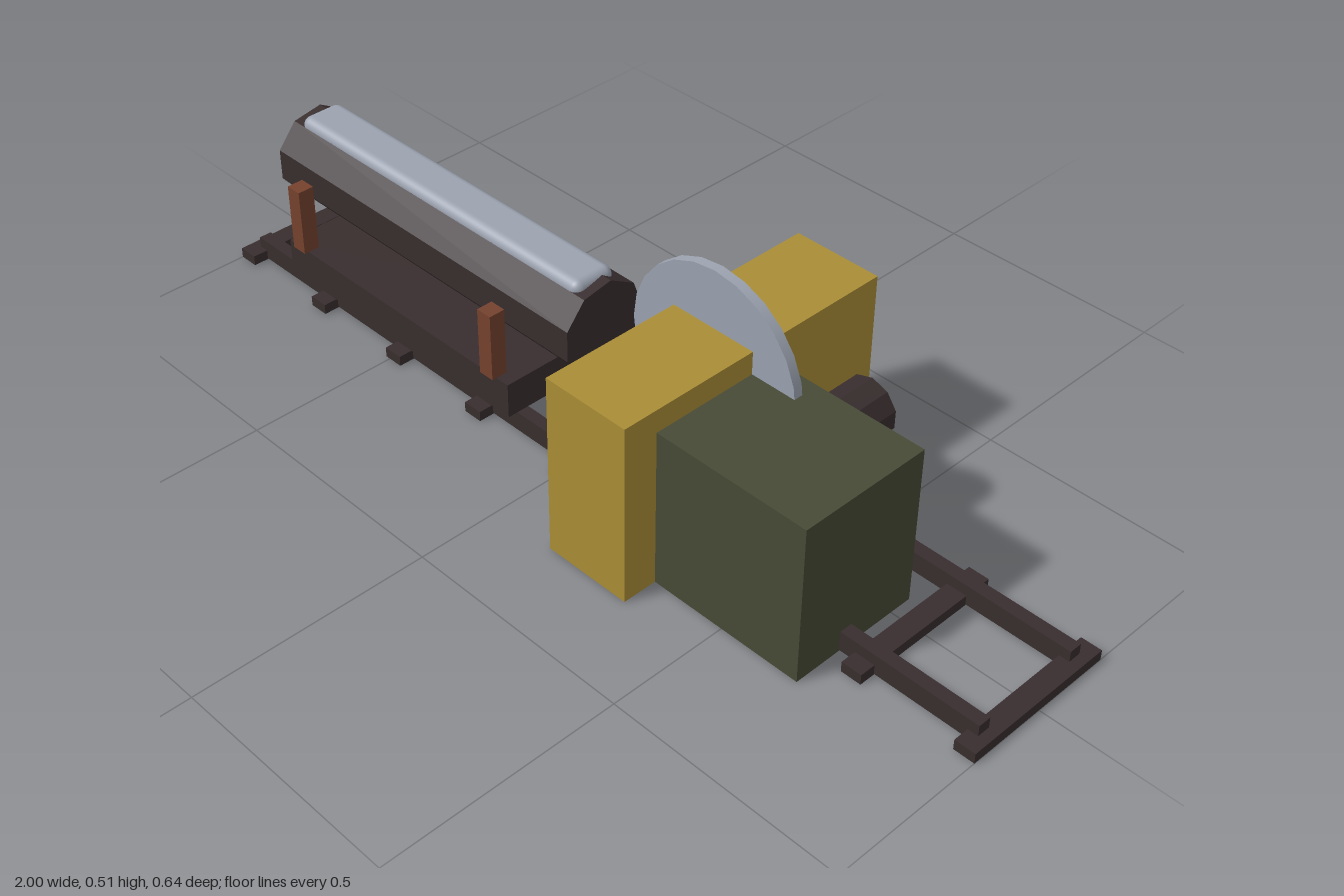
import * as THREE from 'three';
import { RoundedBoxGeometry } from 'three/addons/geometries/RoundedBoxGeometry.js';

const mat = (name, color, extra = {}) =>
  Object.assign(new THREE.MeshStandardMaterial({ color, ...extra }), { name });

export function createModel() {
  const group = new THREE.Group();
  const timber = mat('dark timber', 0x382d2e, { flatShading: true });
  const yellow = mat('machine yellow', 0xaa8e36);
  const green = mat('engine green', 0x474a35);
  const steel = mat('pale steel', 0x9ca3b0);
  const rust = mat('rusty iron', 0x75422e);
  const cutWood = mat('cut wood', 0x84664c);

  const add = (name, geometry, material, x, y, z) => {
    const mesh = new THREE.Mesh(geometry, material);
    mesh.name = name;
    mesh.position.set(x, y, z);
    group.add(mesh);
    return mesh;
  };
  // Box given by its minimum and maximum corners
  const box = (name, material, [x0, y0, z0], [x1, y1, z1]) =>
    add(name, new THREE.BoxGeometry(x1 - x0, y1 - y0, z1 - z0), material,
      (x0 + x1) / 2, (y0 + y1) / 2, (z0 + z1) / 2);

  // Track: nine sleepers and two rails
  for (let i = 0; i < 9; i++) {
    const x = -0.978 + i * 0.2445;
    box('sleeper', timber, [x - 0.022, 0, -0.17], [x + 0.022, 0.022, 0.17]);
  }
  for (const z of [-0.122, 0.122]) {
    box('rail', timber, [-0.978, 0.002, z - 0.014], [0.978, 0.045, z + 0.014]);
  }

  // Carriage with two stakes holding the log
  box('carriage', timber, [-0.83, 0.045, -0.158], [-0.15, 0.122, 0.158]);
  for (const x of [-0.785, -0.2]) {
    box('stake', rust, [x - 0.018, 0.122, 0.132], [x + 0.018, 0.27, 0.168]);
  }

  // Nine-sided log along x, with one corner pointing to the back
  const logGeometry = new THREE.CylinderGeometry(0.1, 0.1, 0.88, 9);
  logGeometry.rotateY(Math.PI).rotateZ(-Math.PI / 2);
  add('log', logGeometry, timber, -0.49, 0.2325, 0);
  const endGeometry = new THREE.CircleGeometry(0.1, 9);
  endGeometry.rotateZ(Math.PI).rotateY(-Math.PI / 2);
  // Turn the cap so its corner also points to the back
  add('logEnd', endGeometry, cutWood, -0.931, 0.2325, 0);
  add('logTopStrip', new RoundedBoxGeometry(0.84, 0.05, 0.1, 4, 0.02), steel, -0.49, 0.314, 0);

  // Saw housing, engine box, blade and motor drum
  box('sawHousing', yellow, [0.142, 0, -0.318], [0.336, 0.39, 0.318]);
  box('engineBox', green, [0.336, 0, -0.049], [0.677, 0.341, 0.243]);
  add('sawBlade', new THREE.CylinderGeometry(0.2, 0.2, 0.02, 24).rotateX(Math.PI / 2),
    steel, 0.24, 0.313, 0);
  add('motorDrum', new THREE.CylinderGeometry(0.061, 0.061, 0.14, 10).rotateX(Math.PI / 2),
    timber, 0.46, 0.245, -0.1);

  return group;
}
